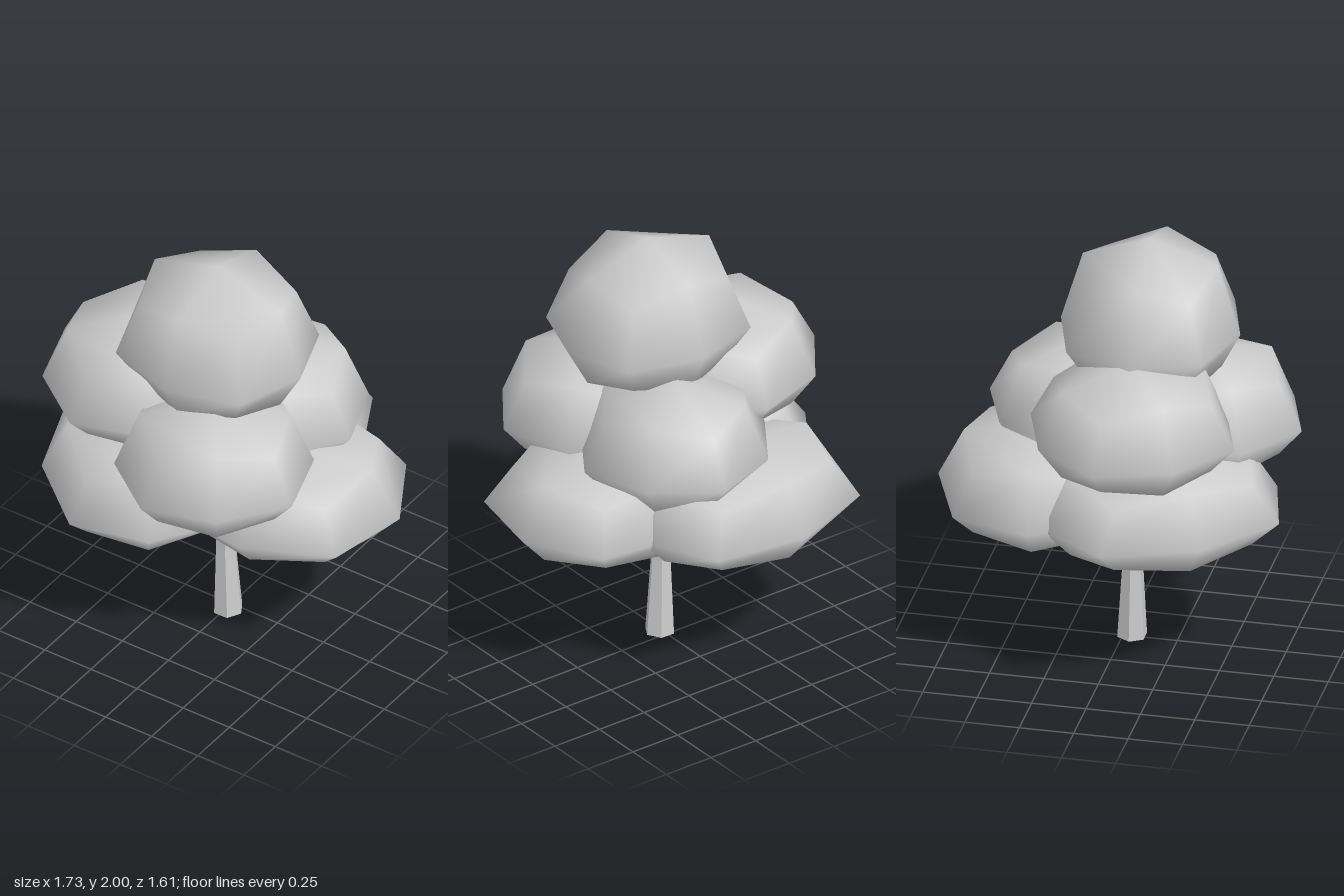
import * as THREE from 'three';
import { mergeVertices } from 'three/addons/utils/BufferGeometryUtils.js';

const material = new THREE.MeshStandardMaterial({ color: 0xcccccc });
const flatMaterial = new THREE.MeshStandardMaterial({ color: 0xcccccc, flatShading: true });

// Rounded 26-point leaf clump: a subdivided cube pulled to a ball, flatter below.
// a and b are the horizontal half-sizes, yaw turns the a axis from +x towards +z.
function clump([cx, cy, cz], a, b, up, down, yaw) {
  const box = new THREE.BoxGeometry(2, 2, 2, 2, 2, 2);
  box.deleteAttribute('uv');
  box.deleteAttribute('normal');
  const geo = mergeVertices(box);
  const pos = geo.attributes.position;
  const c = Math.cos(yaw), s = Math.sin(yaw);
  const pull = [0, 1, 0.755, 0.585]; // face centre, edge middle, corner
  for (let i = 0; i < pos.count; i++) {
    const p = [pos.getX(i), pos.getY(i), pos.getZ(i)];
    const k = pull[p.filter((v) => Math.abs(v) > 0.5).length];
    const x = p[0] * k * a, z = p[2] * k * b;
    const y = p[1] * k * (p[1] > 0 ? up : down);
    pos.setXYZ(i, cx + x * c - z * s, cy + y, cz + x * s + z * c);
  }
  geo.computeVertexNormals();
  return geo;
}

// Tapered limb: a polygon swept through [x, y, z, radius] stations, capped at both ends.
function limb(stations, sides) {
  const pts = stations.map(([x, y, z]) => new THREE.Vector3(x, y, z));
  const verts = [], index = [];
  const last = pts.length - 1;
  const ref = new THREE.Vector3(0, 0, 1);
  pts.forEach((p, i) => {
    const t = pts[Math.min(i + 1, last)].clone().sub(pts[Math.max(i - 1, 0)]).normalize();
    const e1 = new THREE.Vector3().crossVectors(t, ref).normalize();
    const e2 = new THREE.Vector3().crossVectors(t, e1);
    for (let j = 0; j < sides; j++) {
      const ang = (j / sides) * Math.PI * 2, r = stations[i][3];
      const v = p.clone().addScaledVector(e1, Math.cos(ang) * r).addScaledVector(e2, Math.sin(ang) * r);
      verts.push(v.x, v.y, v.z);
    }
  });
  for (let i = 0; i < last; i++) {
    for (let j = 0; j < sides; j++) {
      const k = (j + 1) % sides;
      const p = i * sides + j, q = i * sides + k;
      index.push(p, q, q + sides, p, q + sides, p + sides);
    }
  }
  for (let j = 1; j < sides - 1; j++) {
    const o = last * sides;
    index.push(0, j + 1, j, o, o + j, o + j + 1);
  }
  const geo = new THREE.BufferGeometry();
  geo.setAttribute('position', new THREE.Float32BufferAttribute(verts, 3));
  geo.setIndex(index);
  geo.computeVertexNormals();
  return geo;
}

export function createModel() {
  const tree = new THREE.Group();
  tree.name = 'tree';
  const add = (name, geo, mat) => {
    const mesh = new THREE.Mesh(geo, mat);
    mesh.name = name;
    tree.add(mesh);
  };
  const deg = Math.PI / 180;

  // Foliage: three wide clumps, three round ones above, and the crown
  const foliage = [
    ['lowerClumpBack', [-0.13, 0.81, -0.34], 0.573, 0.47, 0.3, 0.2, -6],
    ['lowerClumpRight', [-0.3, 0.81, 0.235], 0.573, 0.47, 0.3, 0.2, 54.5],
    ['lowerClumpLeft', [0.3, 0.81, 0.02], 0.57, 0.495, 0.3, 0.2, -9.5],
    ['middleClumpRight', [-0.38, 1.22, 0.13], 0.46, 0.46, 0.35, 0.21, 54],
    ['middleClumpFront', [0.135, 1.08, 0.335], 0.448, 0.448, 0.36, 0.22, 54],
    ['middleClumpBack', [0.095, 1.09, -0.185], 0.435, 0.435, 0.35, 0.21, -38],
    ['crownClump', [0.01, 1.56, 0.125], 0.45, 0.412, 0.44, 0.26, 0],
  ];
  for (const [name, centre, a, b, up, down, yaw] of foliage) {
    add(name, clump(centre, a, b, up, down, yaw * deg), material);
  }

  // Trunk and its two bent branches
  add('trunk', limb([
    [0.01, 0, 0.04, 0.07], [0, 0.38, 0.045, 0.048], [0.005, 0.8, 0.045, 0.04],
  ], 6), flatMaterial);
  add('rightBranch', limb([
    [-0.01, 0.39, 0.02, 0.022], [-0.13, 0.425, -0.01, 0.02], [-0.21, 0.52, -0.1, 0.016],
    [-0.34, 0.6, -0.175, 0.014], [-0.39, 0.69, -0.2, 0.01],
  ], 5), flatMaterial);
  add('leftBranch', limb([
    [0.01, 0.49, 0.045, 0.02], [0.13, 0.49, 0.05, 0.019], [0.25, 0.52, 0.035, 0.016],
    [0.35, 0.61, 0.025, 0.014], [0.42, 0.68, 0.02, 0.01],
  ], 5), flatMaterial);
  return tree;
}
